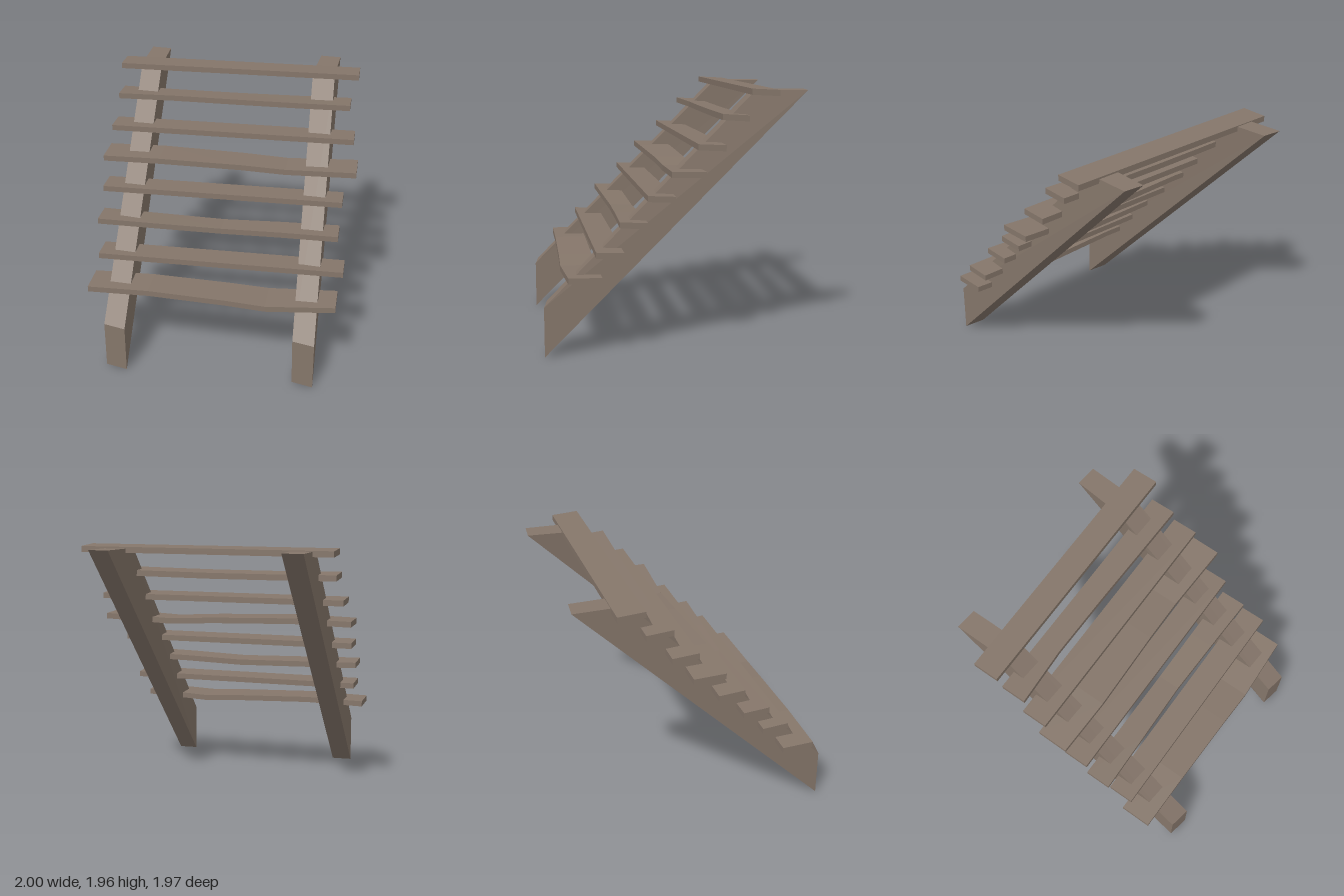
import * as THREE from 'three';

// Skin a run of four-cornered sections, with flat faces and closed ends
function loft(sections) {
  const pos = [];
  const quad = (a, b, c, d) => pos.push(...a, ...b, ...c, ...a, ...c, ...d);
  for (let s = 0; s < sections.length - 1; s++) {
    const p = sections[s], q = sections[s + 1];
    for (let i = 0; i < 4; i++) {
      const j = (i + 1) % 4;
      quad(p[i], p[j], q[j], q[i]);
    }
  }
  const first = sections[0], last = sections[sections.length - 1];
  quad(first[3], first[2], first[1], first[0]);
  quad(...last);
  const g = new THREE.BufferGeometry();
  g.setAttribute('position', new THREE.Float32BufferAttribute(pos, 3));
  g.computeVertexNormals();
  return g;
}

// Plank along x; stations are [x, bottom y, front z], tilt lowers the back edge
function plank(stations, backZ, tilt) {
  const t = 0.044;
  return loft(stations.map(([x, y, z]) => [
    [x, y + tilt, z], [x, y, backZ], [x, y + t, backZ], [x, y + t + tilt, z],
  ]));
}

// Sloping beam; low and high give the x range of [underside, upper side]
function beam(low, high) {
  const [lu, lt] = low, [hu, ht] = high;
  return loft([
    [[lu[1], 0, 0.98], [lu[0], 0.01, 0.95], [lt[0], 0.385, 0.95], [lt[1], 0.375, 0.98]],
    [[hu[1], 1.93, -0.97], [hu[0], 1.93, -0.985], [ht[0], 1.93, -0.59], [ht[1], 1.93, -0.58]],
  ]);
}

export function createModel() {
  const model = new THREE.Group();
  const wood = new THREE.MeshStandardMaterial({ color: 0x85766a });
  wood.name = 'weatheredWood';
  const add = (name, geometry) => {
    const mesh = new THREE.Mesh(geometry, wood);
    mesh.name = name;
    model.add(mesh);
  };

  // Side beams, the left one slightly skewed
  add('rightStringer', beam([[-0.815, -0.65], [-0.815, -0.65]], [[-0.815, -0.655], [-0.815, -0.65]]));
  add('leftStringer', beam([[0.63, 0.79], [0.625, 0.79]], [[0.625, 0.785], [0.588, 0.765]]));

  // Treads from bottom to top, some of them warped
  const treads = [
    { back: 0.565, tilt: 0.004, path: [[-0.97, 0.572, 0.81], [-0.5, 0.582, 0.815], [0.1, 0.562, 0.825], [0.4, 0.545, 0.833], [0.925, 0.572, 0.81]] },
    { back: 0.41, tilt: 0.011, path: [[-0.925, 0.75, 0.613], [0.96, 0.755, 0.613]] },
    { back: 0.23, tilt: 0.011, path: [[-0.97, 0.953, 0.432], [-0.5, 0.943, 0.42], [0, 0.933, 0.406], [0.45, 0.948, 0.42], [0.9, 0.956, 0.435]] },
    { back: 0.03, tilt: 0.011, path: [[-0.97, 1.138, 0.232], [0.91, 1.143, 0.232]] },
    { back: -0.175, tilt: 0.004, path: [[-1, 1.332, 0.07], [-0.55, 1.343, 0.082], [0.1, 1.326, 0.06], [0.45, 1.308, 0.052], [1, 1.332, 0.075]] },
    { back: -0.325, tilt: 0.011, path: [[-0.97, 1.508, -0.122], [0.96, 1.513, -0.122]] },
    { back: -0.505, tilt: 0.013, path: [[-0.95, 1.708, -0.305], [-0.5, 1.704, -0.331], [0, 1.704, -0.327], [0.5, 1.71, -0.315], [0.91, 1.718, -0.305]] },
    { back: -0.712, tilt: 0.011, path: [[-0.97, 1.892, -0.508], [0.96, 1.9, -0.508]] },
  ];
  treads.forEach(({ path, back, tilt }, i) => add(`tread${i + 1}`, plank(path, back, tilt)));

  return model;
}
